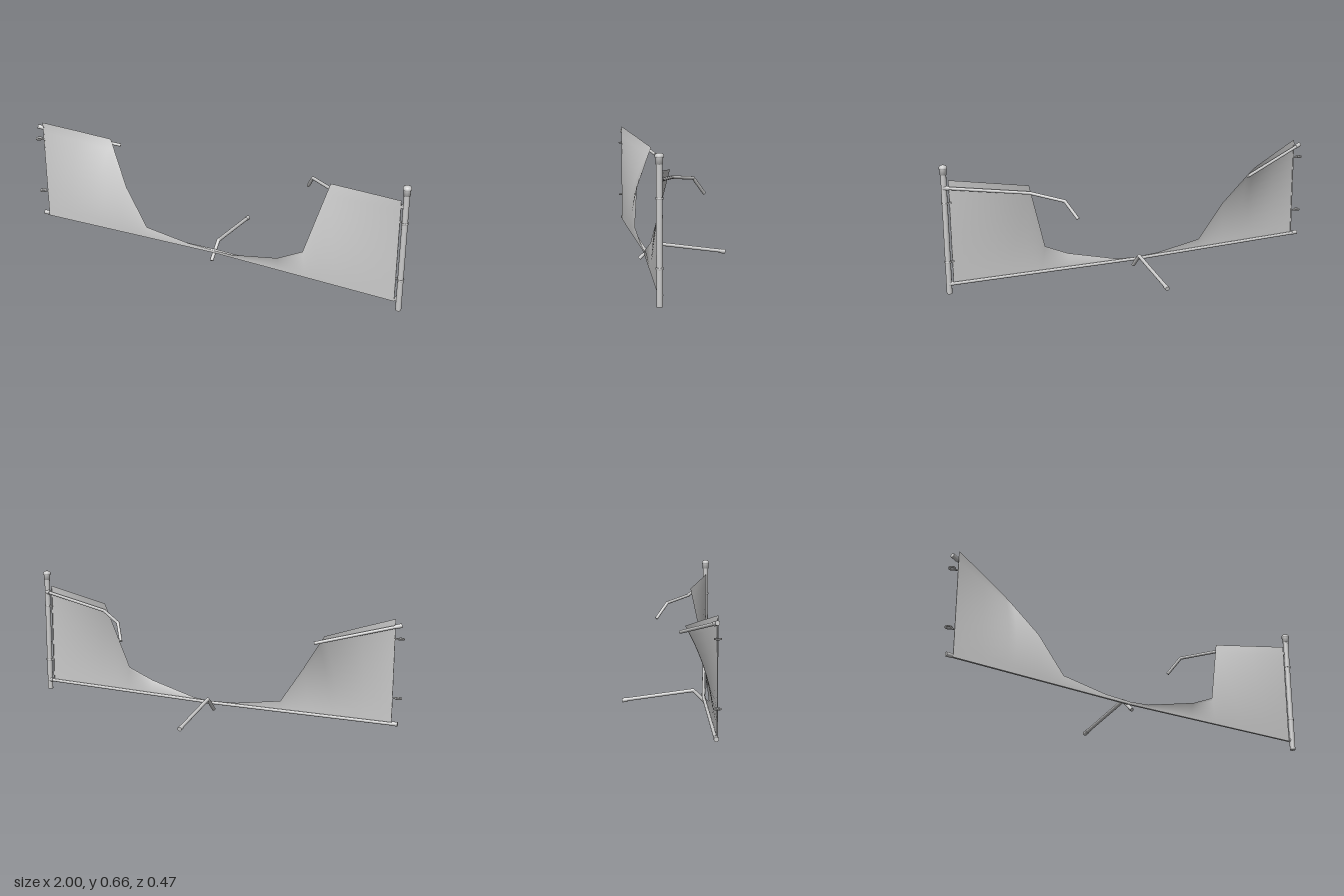
import * as THREE from 'three';

const grey = new THREE.MeshStandardMaterial({ color: 0xcccccc });
const sheet = new THREE.MeshStandardMaterial({ color: 0xcccccc, side: THREE.DoubleSide });
const V = (p) => new THREE.Vector3(...p);

function add(parent, name, geometry, pos = [0, 0, 0], material = grey) {
  const mesh = new THREE.Mesh(geometry, material);
  mesh.name = name;
  mesh.position.set(...pos);
  parent.add(mesh);
  return mesh;
}

// Straight pipe between two points
function pipe(parent, name, a, b, r) {
  const d = V(b).sub(V(a));
  const mesh = add(parent, name, new THREE.CylinderGeometry(r, r, d.length(), 16));
  mesh.position.copy(V(a).add(V(b)).multiplyScalar(0.5));
  mesh.quaternion.setFromUnitVectors(new THREE.Vector3(0, 1, 0), d.normalize());
}

// Kinked pipe: straight runs joined by ball elbows
function bentPipe(parent, name, points, r) {
  const group = new THREE.Group();
  group.name = name;
  parent.add(group);
  for (let i = 1; i < points.length; i++) {
    pipe(group, name + 'Run', points[i - 1], points[i], r);
    if (i < points.length - 1) add(group, name + 'Elbow', new THREE.SphereGeometry(r, 16, 10), points[i]);
  }
}

// Torn sheet from a top edge down to the bottom rail; it hangs flat low down and curls back near the top
function tornPanel(parent, name, top, bottomX) {
  const rows = 10, pos = [], idx = [], n = top.length;
  const bottom = bottomX.map((x) => [x, 0.042, 0.186 + 0.031 * Math.abs(x)]);
  for (let j = 0; j <= rows; j++)
    for (let i = 0; i < n; i++) {
      const t = j / rows, p = V(bottom[i]).lerp(V(top[i]), t);
      p.z = THREE.MathUtils.lerp(bottom[i][2], top[i][2], t * t);
      pos.push(p.x, p.y, p.z);
    }
  for (let j = 0; j < rows; j++)
    for (let i = 0; i < n - 1; i++) {
      const a = j * n + i, b = a + 1, c = a + n, d = c + 1;
      idx.push(a, b, d, a, d, c);
    }
  const g = new THREE.BufferGeometry();
  g.setAttribute('position', new THREE.Float32BufferAttribute(pos, 3));
  g.setIndex(idx);
  g.computeVertexNormals();
  add(parent, name, g, [0, 0, 0], sheet);
}

// Band clamp: a ring round a post with a tab toward the panel
function clamp(parent, x, y, side, h, inner) {
  const g = new THREE.Group();
  g.name = 'clamp';
  g.position.set(x, y, 0.2125);
  parent.add(g);
  const ring = [[inner, -h], [0.0172, -h], [0.0172, h], [inner, h], [inner, -h]];
  add(g, 'clampRing', new THREE.LatheGeometry(ring.map((p) => new THREE.Vector2(...p)), 20), [0, 0, 0], sheet);
  add(g, 'clampTab', new THREE.BoxGeometry(0.016, h * 2, 0.008), [-side * 0.023, 0, -0.004]);
}

export function createModel() {
  const model = new THREE.Group();
  model.name = 'brokenFence';

  // Standing end post with domed cap
  const post = new THREE.Group();
  post.name = 'endPost';
  post.position.set(0.978, 0, 0.2125);
  model.add(post);
  add(post, 'postPipe', new THREE.CylinderGeometry(0.014, 0.014, 0.62, 24), [0, 0.31, 0]);
  const cap = [[0, 0.612], [0.0165, 0.612], [0.0165, 0.64], [0.0205, 0.641], [0.0205, 0.648],
    [0.017, 0.655], [0.009, 0.659], [0, 0.66]];
  add(post, 'postCap', new THREE.LatheGeometry(cap.map((p) => new THREE.Vector2(...p)), 24));

  // Clamps on the post, and those left hanging where a post is missing
  for (const y of [0.167, 0.468]) clamp(model, 0.978, y, 1, 0.004, 0.0138);
  for (const y of [0.183, 0.483]) clamp(model, -0.98, y, -1, 0.003, 0.009);

  // Torn mesh panels
  tornPanel(model, 'rightPanel',
    [[-0.95, 0.58, 0.2155], [-0.79, 0.537, 0.146], [-0.635, 0.493, 0.078], [-0.604, 0.447, 0.1],
      [-0.5, 0.29, 0.17], [-0.375, 0.1, 0.194], [-0.14, 0.062, 0.188], [0, 0.055, 0.186]],
    [-0.95, -0.82, -0.69, -0.64, -0.53, -0.38, -0.14, 0]);
  tornPanel(model, 'leftPanel',
    [[0, 0.055, 0.186], [0.1, 0.06, 0.193], [0.355, 0.12, 0.214], [0.48, 0.18, 0.199],
      [0.58, 0.535, 0.12], [0.77, 0.558, 0.168], [0.955, 0.58, 0.2155]],
    [0, 0.1, 0.35, 0.5, 0.66, 0.81, 0.955]);

  // Thin tension bars along the outer panel edges
  for (const x of [-0.948, 0.953])
    add(model, 'tensionBar', new THREE.BoxGeometry(0.004, 0.52, 0.004), [x, 0.305, 0.2125]);

  // Bent rails and their end cups
  bentPipe(model, 'bottomRail', [[-0.975, 0.051, 0.206], [0, 0.05, 0.177], [0.978, 0.051, 0.206]], 0.008);
  bentPipe(model, 'leftTopRail', [[0.978, 0.546, 0.206], [0.58, 0.5, 0.108],
    [0.441, 0.474, -0.006], [0.396, 0.395, -0.064]], 0.008);
  pipe(model, 'rightTopRail', [-0.975, 0.549, 0.207], [-0.59, 0.459, 0.058], 0.008);
  pipe(model, 'railCup', [-0.982, 0.551, 0.211], [-0.952, 0.544, 0.199], 0.011);
  pipe(model, 'railCup', [-0.982, 0.052, 0.208], [-0.952, 0.052, 0.207], 0.011);
  pipe(model, 'railCup', [0.982, 0.547, 0.208], [0.957, 0.544, 0.202], 0.011);
  pipe(model, 'railCup', [0.982, 0.052, 0.208], [0.957, 0.052, 0.207], 0.011);

  // Middle post knocked over backward, with its end sleeve
  bentPipe(model, 'fallenPost', [[-0.004, 0.006, 0.205], [-0.004, 0.082, 0.126], [-0.004, 0.032, -0.228]], 0.009);
  pipe(model, 'fallenPostSleeve', [-0.004, 0.0345, -0.204], [-0.004, 0.0307, -0.231], 0.0112);

  return model;
}
